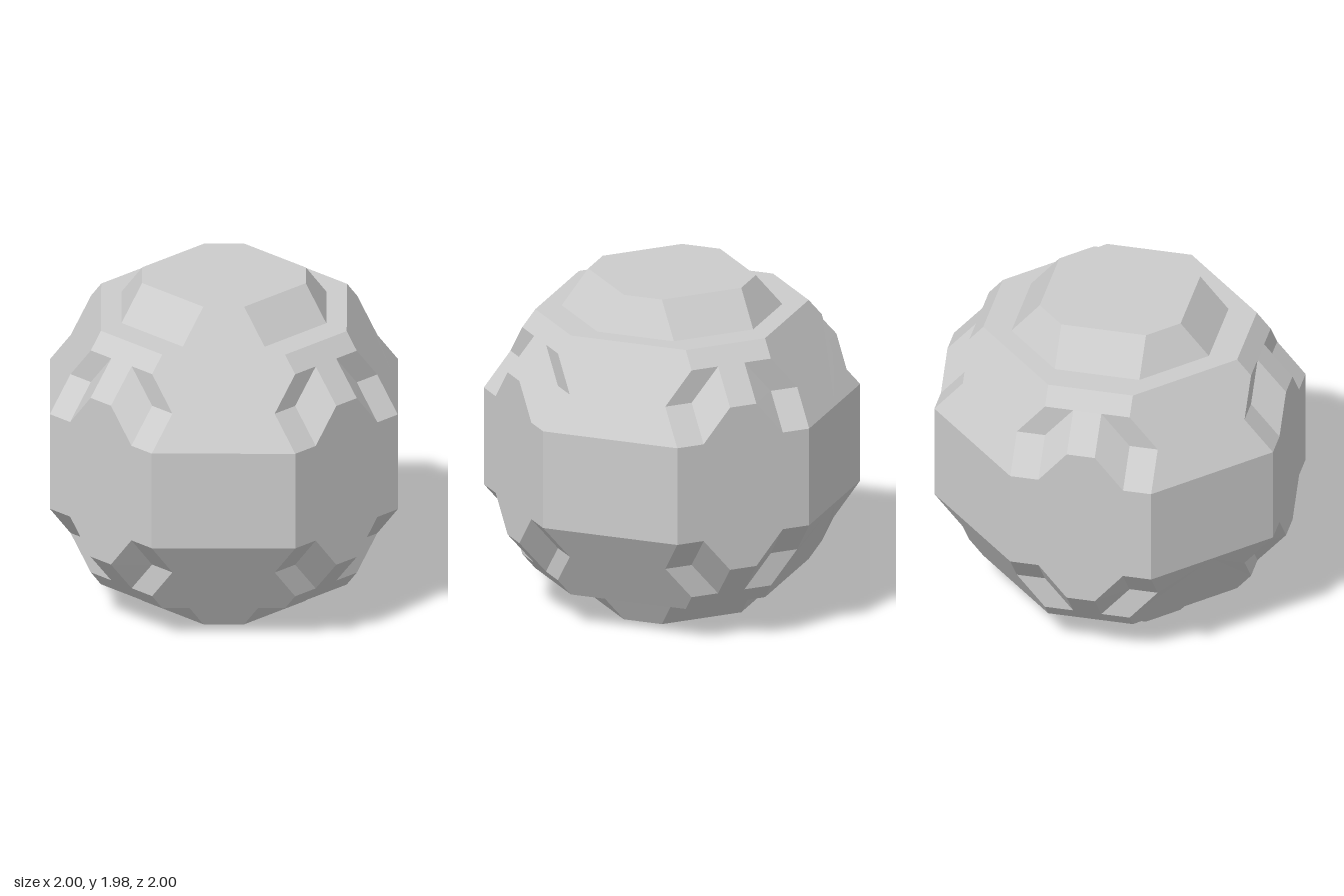
import * as THREE from 'three';

// key half-widths of the faceted ball (heights are measured from its centre)
const A = 0.416, B = 0.25, C = 0.083, D = 0.832, W = 0.75;
const M = (1 + A) / 2, N = (B + W) / 2;
const CAP_BASE = 0.583, CAP_TOP = 0.416;
const E = (B + CAP_BASE) / 2, F = (B + CAP_TOP) / 2;
const Y1 = 0.295, Y2 = 0.495, Y3 = 0.692, Y4 = 0.79, Y5 = 0.99;

// one sixteenth of each part: front, +x half, upper half; corners counter-clockwise
const SHELL = [
  [[0, 0, 1], [A, 0, 1], [A, Y1, 1], [B, Y1, 1], [C, Y2, 1], [0, Y2, 1]], // front panel
  [[0, Y2, 1], [C, Y2, 1], [C, Y3, D], [0, Y3, D]],                       // slope between notches
  [[0, Y3, D], [B, Y3, D], [B, Y4, W], [0, Y4, W]],                       // slope above notches
  [[A, 0, 1], [M, 0, M], [M, Y1, M], [A, Y1, 1]],                         // diagonal wall
  [[M, Y1, M], [N, Y4, N], [B, Y4, W], [B, Y3, D], [A, Y2, D], [A, Y1, 1]], // diagonal slope
  [[0, Y4, 0], [0, Y4, W], [B, Y4, W], [N, Y4, N]],                       // flat ledge
];
const NOTCH = [
  [[B, Y1, 1], [A, Y1, 1], [A, Y2, D], [B, Y2, D]], // sloped floor
  [[C, Y2, 1], [B, Y1, 1], [B, Y2, D], [C, Y3, D]], // slanted side
  [[B, Y2, D], [A, Y2, D], [B, Y3, D], [C, Y3, D]], // upright back
];
const CAP = [
  [[0, Y4, CAP_BASE], [B, Y4, CAP_BASE], [B, Y5, CAP_TOP], [0, Y5, CAP_TOP]],
  [[B, Y4, CAP_BASE], [E, Y4, E], [F, Y5, F], [B, Y5, CAP_TOP]],
  [[0, Y5, 0], [0, Y5, CAP_TOP], [B, Y5, CAP_TOP], [F, Y5, F]],
];

// mirror across x, turn four times about y, and mirror across y where wanted
function build(polygons, verticalSides) {
  const out = [];
  for (const sy of verticalSides) for (const sx of [1, -1]) for (let k = 0; k < 4; k++) {
    const place = ([x, y, z]) => new THREE.Vector3(x * sx, y * sy, z)
      .applyAxisAngle(new THREE.Vector3(0, 1, 0), k * Math.PI / 2).toArray();
    for (const poly of polygons) {
      const p = poly.map(place);
      if (sx * sy < 0) p.reverse();
      // keep the fan starting at the first listed corner
      if (sx * sy < 0) p.unshift(p.pop());
      for (let i = 1; i < p.length - 1; i++) out.push(...p[0], ...p[i], ...p[i + 1]);
    }
  }
  const geo = new THREE.BufferGeometry();
  geo.setAttribute('position', new THREE.Float32BufferAttribute(out, 3));
  geo.translate(0, Y5, 0);
  geo.computeVertexNormals();
  return geo;
}

export function createModel() {
  const group = new THREE.Group();
  group.name = 'facetedBall';
  const grey = new THREE.MeshStandardMaterial({ color: 0xcccccc });
  grey.name = 'light grey';
  const add = (name, polygons, sides) => {
    const mesh = new THREE.Mesh(build(polygons, sides), grey);
    mesh.name = name;
    group.add(mesh);
  };
  add('shell', SHELL, [1, -1]);
  add('cornerNotches', NOTCH, [1, -1]);
  add('topCap', CAP, [1]);
  add('bottomCap', CAP, [-1]);
  return group;
}
